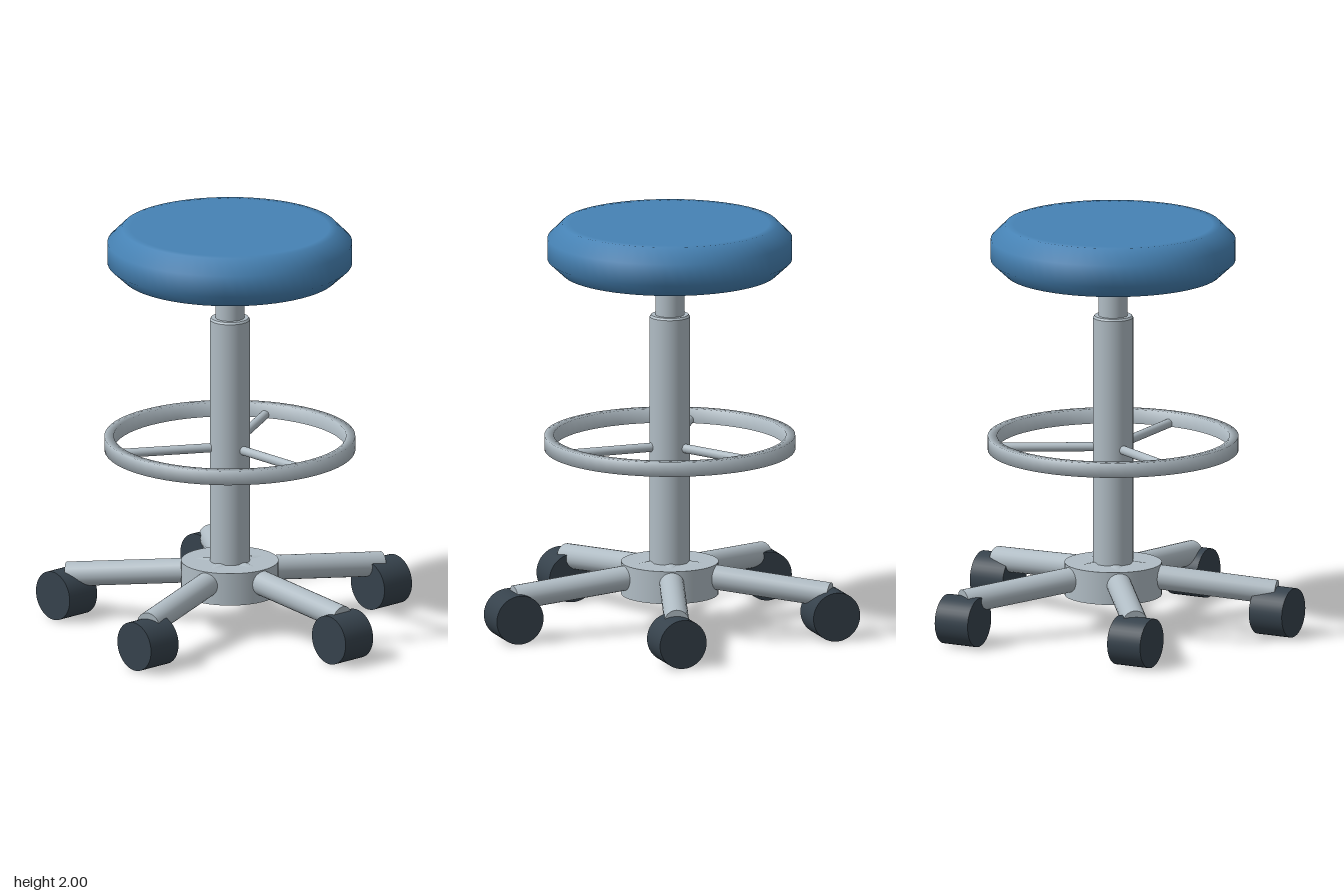
import * as THREE from 'three';

const metal = new THREE.MeshStandardMaterial({ color: 0xb0bcc4 });
const seatBlue = new THREE.MeshStandardMaterial({ color: 0x4682b4 });
const rubber = new THREE.MeshStandardMaterial({ color: 0x36424c });

export function createModel() {
  const model = new THREE.Group();
  model.name = 'stool';

  // Everything is arranged around the column axis, which sits left of the origin
  const stool = new THREE.Group();
  stool.name = 'stoolBody';
  stool.position.x = -0.08;
  model.add(stool);

  const add = (name, geometry, material) => {
    const mesh = new THREE.Mesh(geometry, material);
    mesh.name = name;
    stool.add(mesh);
    return mesh;
  };

  // Upright cylinder between two heights
  const post = (name, radius, y0, y1) => {
    const mesh = add(name, new THREE.CylinderGeometry(radius, radius, y1 - y0, 48), metal);
    mesh.position.y = (y0 + y1) / 2;
  };

  // Round bar between two points
  const bar = (name, a, b, radius) => {
    const dir = b.clone().sub(a);
    const mesh = add(name, new THREE.CylinderGeometry(radius, radius, dir.length(), 24), metal);
    mesh.position.copy(a).add(b).multiplyScalar(0.5);
    mesh.quaternion.setFromUnitVectors(new THREE.Vector3(0, 1, 0), dir.normalize());
  };

  const polar = (r, angle, y) => new THREE.Vector3(r * Math.cos(angle), y, r * Math.sin(angle));
  const lathe = (points) =>
    new THREE.LatheGeometry(points.map(([r, y]) => new THREE.Vector2(r, y)), 64);

  // Chamfered cushion, shaded smooth; small inner rings keep the faces flat
  add('seat', lathe([
    [0, 1.76], [0.48, 1.76], [0.52, 1.76], [0.59, 1.825],
    [0.59, 1.93], [0.52, 2], [0.48, 2], [0, 2],
  ]), seatBlue);

  // Gas lift, column and hub
  post('liftRod', 0.07, 1.5, 1.77);
  add('column', lathe([
    [0.097, 0.25], [0.097, 1.54], [0.097, 1.54], [0.09, 1.55], [0.09, 1.55], [0, 1.55],
  ]), metal);
  post('hub', 0.235, 0.17, 0.33);

  // Foot ring: a band of rectangular section, with three spokes
  add('footRing', lathe([
    [0.56, 0.885], [0.605, 0.885], [0.605, 0.955], [0.56, 0.955], [0.56, 0.885],
  ]), metal);
  for (let i = 0; i < 3; i++) {
    const angle = (i * Math.PI * 2) / 3;
    bar('footRingSpoke', polar(0.08, angle, 0.9), polar(0.575, angle, 0.9), 0.022);
  }

  // Five sloping legs, each ending at a wheel; all wheels share the same axle direction
  for (let i = 0; i < 5; i++) {
    const angle = (i * Math.PI * 2) / 5;
    bar('leg', polar(0.08, angle, 0.278), polar(0.8, angle, 0.212), 0.06);
    const wheel = add('wheel', new THREE.CylinderGeometry(0.12, 0.12, 0.18, 40), rubber);
    wheel.rotation.x = Math.PI / 2;
    wheel.position.copy(polar(0.803, angle, 0.12));
  }

  return model;
}
